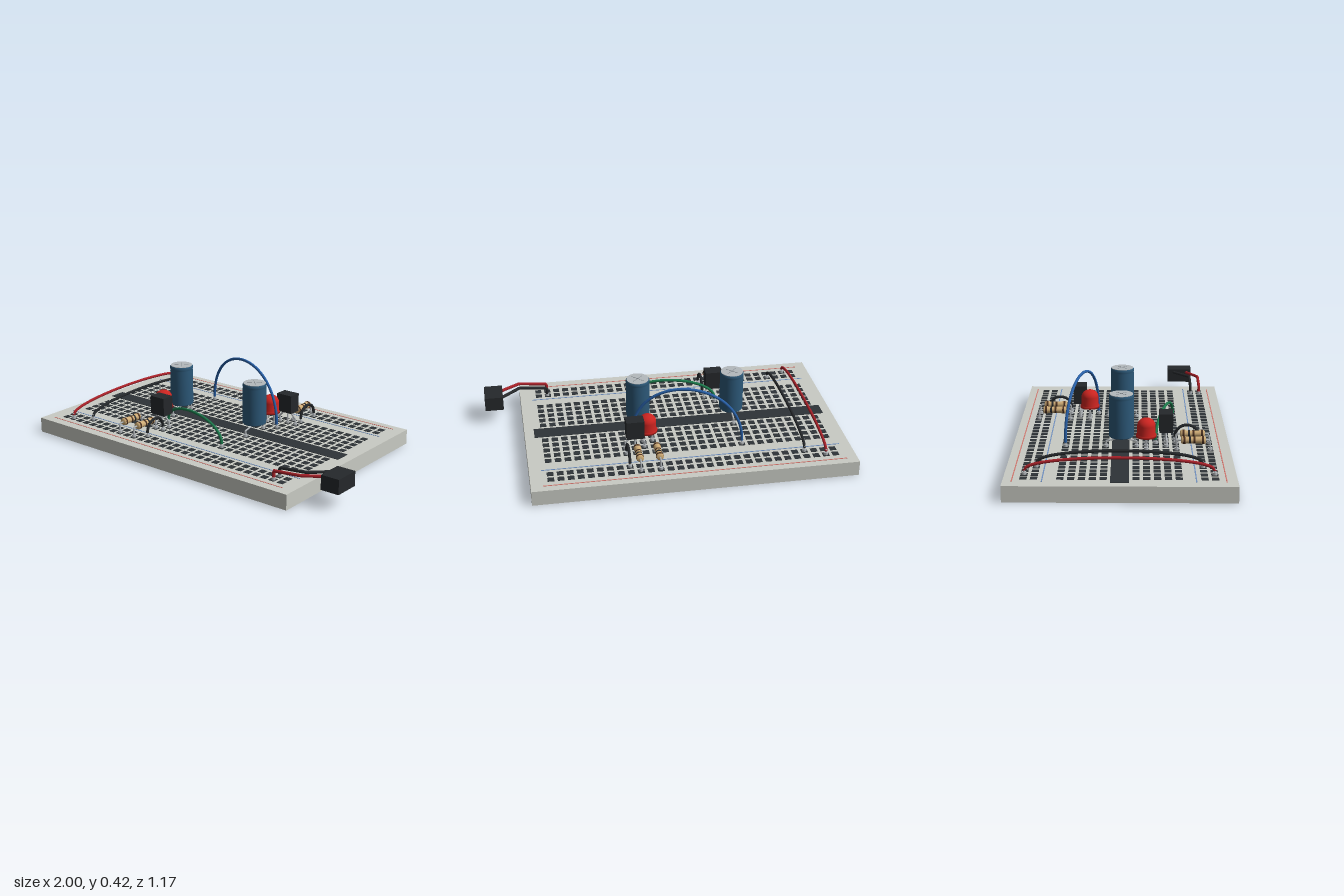
import * as THREE from 'three';
import { mergeGeometries } from 'three/addons/utils/BufferGeometryUtils.js';

const TOP = 0.086;
const PITCH = 0.0541;
const col = (i) => -0.89 + i * PITCH;
const v = (x, y, z) => new THREE.Vector3(x, y, z);

const mat = (color) => {
  const m = new THREE.MeshStandardMaterial();
  m.color.set(color);
  return m;
};
const M = {
  board: mat(0xc9cbc4), dark: mat(0x2e3337), black: mat(0x25282b), red: mat(0xcc2420),
  wireRed: mat(0xa82028), blue: mat(0x2860a8), green: mat(0x1c7a4c), can: mat(0x2c5878),
  metal: mat(0xb4b9bd), tan: mat(0xcfac76), brown: mat(0x4a3020), lineRed: mat(0xd07870),
  lineBlue: mat(0x7090c0), score: mat(0x858c92),
};

function mesh(name, geometry, material, x = 0, y = 0, z = 0) {
  const m = new THREE.Mesh(geometry, material);
  m.name = name;
  m.position.set(x, y, z);
  return m;
}
const box = (name, w, h, d, material, x, y, z) =>
  mesh(name, new THREE.BoxGeometry(w, h, d), material, x, y, z);

function group(name, ...parts) {
  const g = new THREE.Group();
  g.name = name;
  if (parts.length) g.add(...parts);
  return g;
}

function lathe(name, profile, material, segments = 32) {
  const pts = profile.map(([r, y]) => new THREE.Vector2(r, y));
  return mesh(name, new THREE.LatheGeometry(pts, segments), material);
}

// Bent rod through corner points
function rod(name, points, radius, material) {
  const path = new THREE.CurvePath();
  for (let i = 1; i < points.length; i++) path.add(new THREE.LineCurve3(points[i - 1], points[i]));
  const dense = path.getSpacedPoints(24);
  return mesh(name, new THREE.TubeGeometry(new THREE.CatmullRomCurve3(dense), 32, radius, 8), material);
}

// Small metal collar where a lead enters the board
const collar = (x, z) =>
  mesh('pinCollar', new THREE.CylinderGeometry(0.012, 0.012, 0.016, 10), M.metal, x, TOP + 0.008, z);

// Arched jumper wire with metal pins
function jumper(name, x0, z0, x1, z1, apex, material, radius = 0.008) {
  const base = TOP + 0.025;
  const up = base + (apex - radius - base) * 4 / 3;
  const curve = new THREE.CubicBezierCurve3(v(x0, base, z0), v(x0, up, z0), v(x1, up, z1), v(x1, base, z1));
  const g = group(name, mesh('wire', new THREE.TubeGeometry(curve, 48, radius, 10), material));
  for (const [x, z] of [[x0, z0], [x1, z1]]) {
    g.add(mesh('pin', new THREE.CylinderGeometry(0.005, 0.005, 0.04, 8), M.metal, x, TOP + 0.015, z), collar(x, z));
  }
  return g;
}

function capacitor(x, z) {
  const y0 = 0.148, y1 = 0.386;
  const g = group('capacitor',
    lathe('can', [[0, y0], [0.062, y0], [0.067, y0 + 0.006], [0.067, y1 - 0.03], [0.064, y1 - 0.025],
      [0.067, y1 - 0.02], [0.067, y1 - 0.006], [0.062, y1]], M.can, 40),
    mesh('canTop', new THREE.CylinderGeometry(0.063, 0.063, 0.004, 40), M.metal, 0, y1 - 0.001, 0));
  for (const s of [-1, 1]) {
    const groove = box('ventGroove', 0.085, 0.001, 0.003, M.score, 0, y1 + 0.0015, 0);
    groove.rotation.y = s * Math.PI / 4;
    g.add(groove, rod('lead', [v(0, y0, s * 0.025), v(0, y0 - 0.014, s * 0.03),
      v(0, y0 - 0.026, s * 0.082), v(0, TOP, s * 0.082)], 0.005, M.metal), collar(0, s * 0.082));
  }
  g.position.set(x, 0, z);
  return g;
}

function lamp(x, z) {
  const y0 = 0.154, r = 0.049;
  const profile = [[0, y0], [0.055, y0], [0.055, y0 + 0.014], [r, y0 + 0.014], [r, 0.218]];
  for (let i = 1; i <= 8; i++) {
    const a = i / 8 * Math.PI / 2;
    profile.push([r * Math.cos(a), 0.218 + 0.042 * Math.sin(a)]);
  }
  const g = group('lamp', lathe('lens', profile, M.red));
  for (const s of [-1, 1]) {
    g.add(box('lead', 0.01, y0 - TOP, 0.01, M.metal, s * PITCH / 2, (y0 + TOP) / 2, 0), collar(s * PITCH / 2, 0));
  }
  g.position.set(x, 0, z);
  return g;
}

function transistor(x, z) {
  const g = group('transistor', box('body', 0.1, 0.106, 0.074, M.black, 0, 0.217, 0));
  for (const s of [-1, 0, 1]) {
    g.add(rod('lead', [v(s * 0.03, 0.17, 0), v(s * 0.03, 0.15, 0), v(s * PITCH, 0.125, 0), v(s * PITCH, TOP, 0)],
      0.005, M.metal), collar(s * PITCH, 0));
  }
  g.position.set(x, 0, z);
  return g;
}

function resistor(x, z) {
  const body = lathe('body', [[0, -0.067], [0.017, -0.066], [0.021, -0.058], [0.021, -0.042], [0.018, -0.034],
    [0.018, 0.034], [0.021, 0.042], [0.021, 0.058], [0.017, 0.066], [0, 0.067]], M.tan, 20);
  [[-0.05, M.brown, 0.0216], [-0.02, M.black, 0.0186], [0.004, M.brown, 0.0186], [0.05, M.brown, 0.0216]]
    .forEach(([y, m, r]) => body.add(mesh('colourBand', new THREE.CylinderGeometry(r, r, 0.011, 20), m, 0, y, 0)));
  body.rotation.x = Math.PI / 2;
  body.position.y = 0.145;
  const g = group('resistor', body);
  for (const s of [-1, 1]) {
    g.add(rod('lead', [v(0, 0.145, s * 0.06), v(0, 0.145, s * 0.082), v(0, 0.135, s * 0.09), v(0, TOP, s * 0.09)],
      0.005, M.metal), collar(0, s * 0.09));
  }
  g.position.set(x, 0, z);
  return g;
}

export function createModel() {
  const root = group('circuitBoard');

  // Board, centre channel and rail lines
  root.add(box('board', 1.79, TOP, 1.172, M.board, -0.105, TOP / 2, -0.075));
  root.add(box('centreChannel', 1.685, 0.003, 0.094, M.dark, -0.107, TOP + 0.0005, -0.078));
  [[-0.615, M.lineRed], [-0.465, M.lineBlue], [0.305, M.lineBlue], [0.455, M.lineRed]].forEach(([z, m]) =>
    root.add(box('railLine', 1.665, 0.002, 0.006, m, -0.108, TOP + 0.0005, z)));

  // Grid of holes
  const holes = [];
  const rows = [-0.56, -0.507, 0.348, 0.401];
  for (let i = 0; i < 5; i++) rows.push(-0.376 + i * PITCH, 0.004 + i * PITCH);
  for (const z of rows) {
    for (let i = 0; i < 30; i++) {
      holes.push(new THREE.BoxGeometry(0.036, 0.003, 0.036).translate(col(i), TOP + 0.0005, z));
    }
  }
  root.add(mesh('holes', mergeGeometries(holes), M.dark));

  // Components
  root.add(capacitor(-0.405, -0.074), capacitor(0.138, -0.074));
  root.add(lamp(-0.43, 0.06), lamp(0.112, -0.262));
  root.add(transistor(col(10), 0.168), transistor(col(20), -0.32));
  for (const i of [8, 10]) root.add(resistor(col(i), 0.312));
  for (const i of [18, 20]) root.add(resistor(col(i), -0.466));

  // Jumper wires
  root.add(
    jumper('redRailWire', col(1), -0.56, col(1), 0.401, 0.185, M.wireRed),
    jumper('blackRailWire', col(3), -0.507, col(3), 0.348, 0.185, M.black),
    jumper('rearGroundWire', col(21), -0.507, col(21), -0.376, 0.185, M.black),
    jumper('frontGroundWire', col(11), 0.22, col(11), 0.348, 0.185, M.black),
    jumper('blueWire', col(9), -0.376, col(20), -0.213, 0.425, M.blue),
    jumper('greenWire', col(10), 0.112, col(19), 0.22, 0.232, M.green));

  // Power plug and its two leads
  const plug = group('powerPlug', box('plugBody', 0.107, 0.082, 0.148, M.black, 0.9465, 0.131, 0.289));
  [[0.401, 0.33, M.wireRed], [0.348, 0.25, M.black]].forEach(([z, end, m]) => {
    plug.add(rod('powerLead', [v(0.628, TOP + 0.012, z), v(0.628, 0.137, z), v(0.79, 0.153, z), v(0.9, 0.153, end)],
      0.009, m), collar(0.628, z));
  });
  root.add(plug);
  return root;
}
